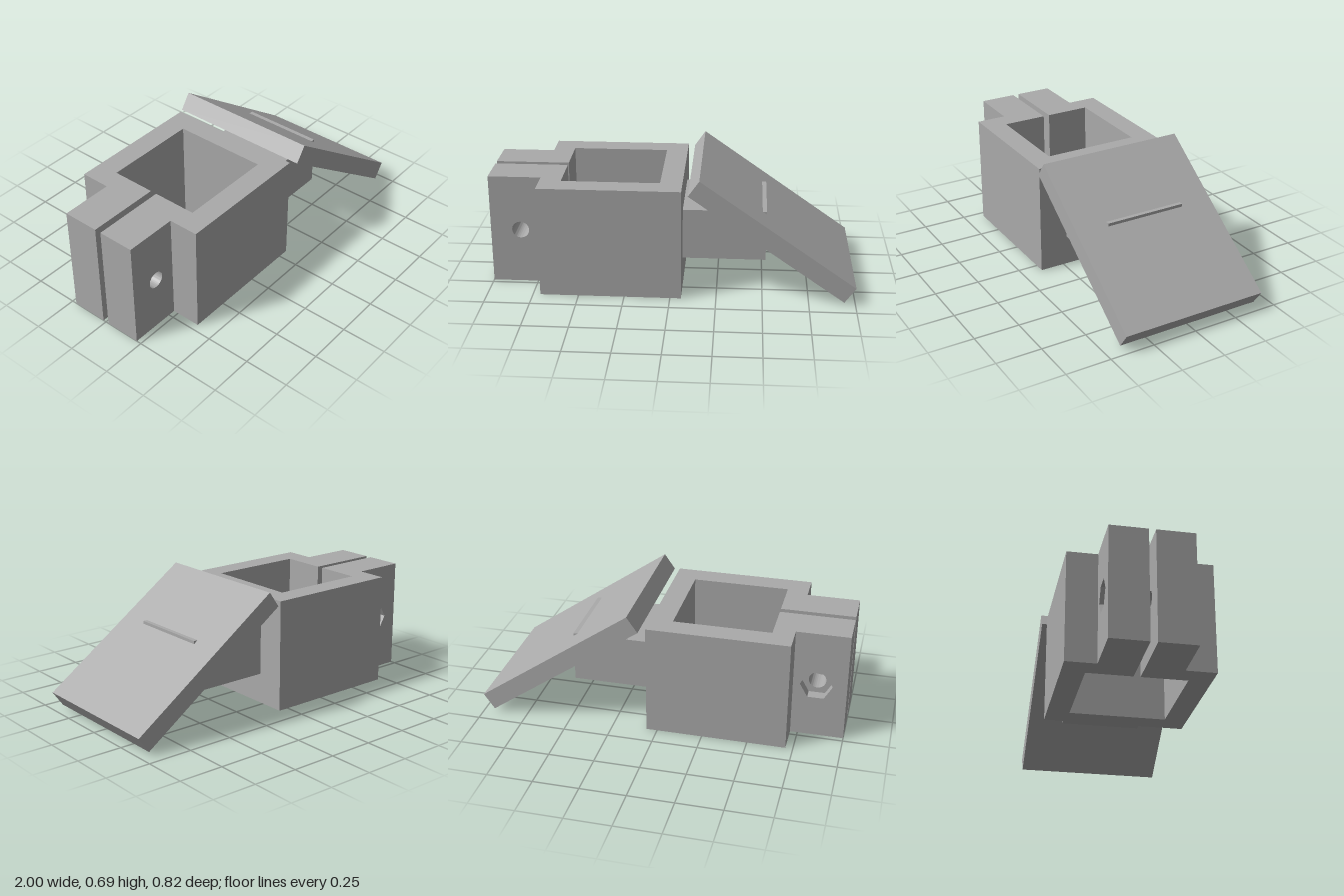
import * as THREE from 'three';
import { toCreasedNormals } from 'three/addons/utils/BufferGeometryUtils.js';

const HEIGHT = 0.62;
const SLIT = 0.018;            // half width of the clamping slit
const LUG = 0.222;             // outer z of the lugs
const BOLT = { x: -0.835, y: 0.31, radius: 0.047 };

export function createModel() {
  const model = new THREE.Group();
  model.name = 'tiltedPlateClamp';
  const grey = new THREE.MeshStandardMaterial({ color: 0xaaaaaa });
  grey.name = 'grey plastic';

  const add = (name, geometry) => {
    const mesh = new THREE.Mesh(geometry, grey);
    mesh.name = name;
    model.add(mesh);
    return mesh;
  };
  const polygon = (points) => new THREE.Shape(points.map(([x, y]) => new THREE.Vector2(x, y)));
  const extrude = (shape, depth) =>
    toCreasedNormals(new THREE.ExtrudeGeometry(shape, { depth, bevelEnabled: false, curveSegments: 32 }), 0.5);

  // Square collar, open at the slit, extruded upwards
  const collar = extrude(polygon([
    [-0.71, -SLIT], [-0.71, -0.388], [0.06, -0.388], [0.06, 0.388], [-0.71, 0.388], [-0.71, SLIT],
    [-0.593, SLIT], [-0.593, 0.265], [-0.06, 0.265], [-0.06, -0.265], [-0.593, -0.265], [-0.593, -SLIT],
  ]), HEIGHT);
  collar.rotateX(-Math.PI / 2);
  add('collar', collar);

  // Lug slices with a round bore or a hexagonal nut pocket
  const lugSlice = (name, z0, z1, hexRadius) => {
    const shape = polygon([[-1, 0], [-0.71, 0], [-0.71, HEIGHT], [-1, HEIGHT]]);
    const hole = new THREE.Path();
    if (hexRadius) {
      hole.setFromPoints(Array.from({ length: 6 }, (_, i) => new THREE.Vector2(
        BOLT.x + hexRadius * Math.cos(i * Math.PI / 3),
        BOLT.y + hexRadius * Math.sin(i * Math.PI / 3))));
      hole.closePath();
    } else {
      hole.absarc(BOLT.x, BOLT.y, BOLT.radius, 0, Math.PI * 2, true);
    }
    shape.holes.push(hole);
    add(name, extrude(shape, z1 - z0)).position.z = z0;
  };
  lugSlice('frontLug', SLIT, LUG);
  lugSlice('backLugBore', -0.162, -SLIT);
  lugSlice('backLugNutPocket', -LUG, -0.162, 0.088);

  // Arm whose top edge just breaks through the sloping plate
  const arm = add('arm', new THREE.BoxGeometry(0.455, 0.285, 0.456));
  arm.position.set(0.2875, 0.3125, 0);

  // Sloping plate
  const plate = add('slopingPlate', new THREE.BoxGeometry(1.03, 0.104, 0.822));
  plate.position.set(0.5475, 0.3525, 0);
  plate.rotation.z = THREE.MathUtils.degToRad(-35);

  return model;
}
